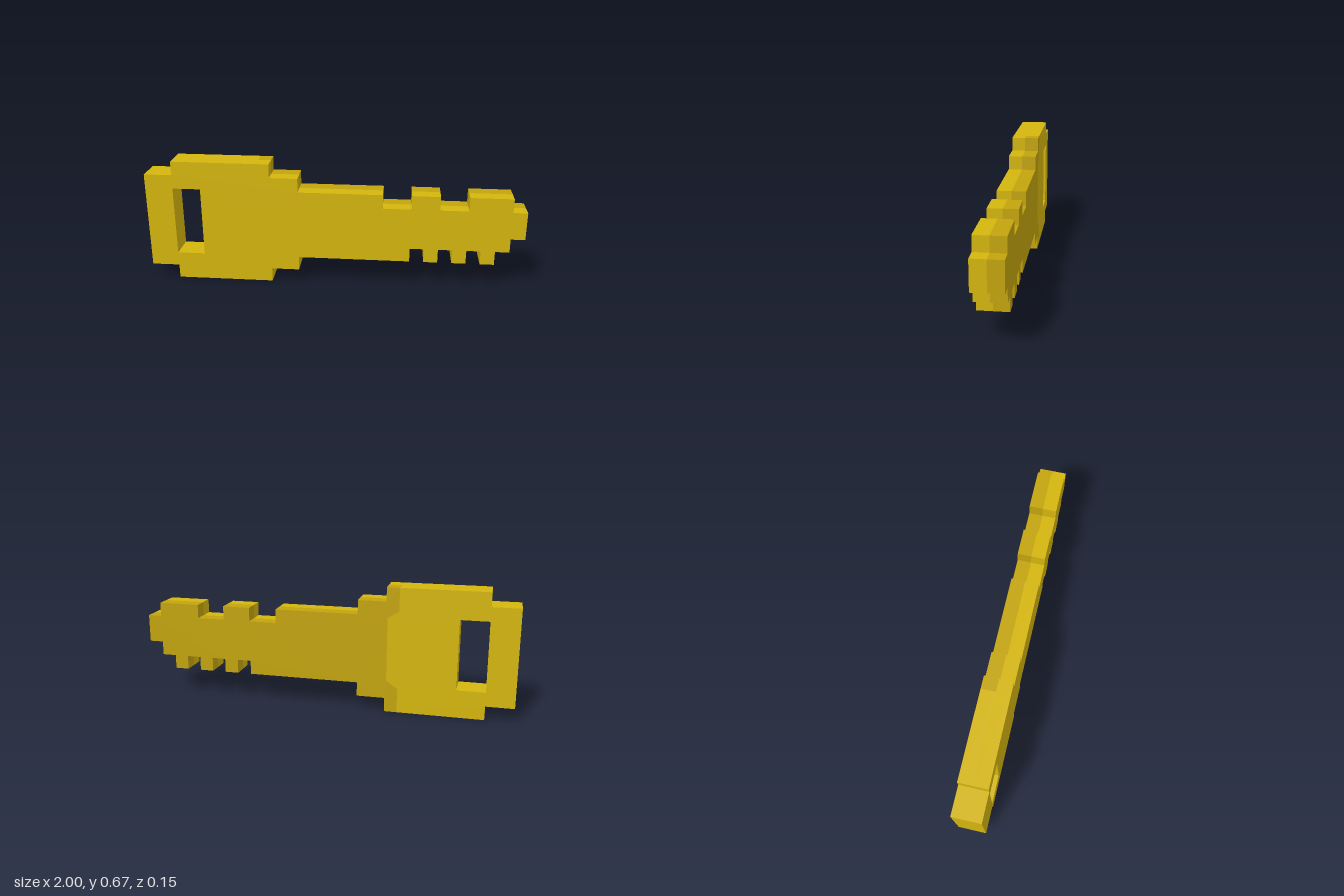
import * as THREE from 'three';

// The key is drawn on a 27 x 9 grid of square cells and is two cells thick.
const U = 2 / 27;

const gold = new THREE.MeshStandardMaterial({ color: 0xd4b50d });
gold.name = 'gold';
const darkGold = new THREE.MeshStandardMaterial({ color: 0xc3a40d });
darkGold.name = 'dark gold';

const toPoints = (cells) => cells.map(([x, y]) => new THREE.Vector2((x - 13.5) * U, y * U));

// Stepped upper edge of the blade, left to right, with the tip
const bladeTop = [
  [9, 9], [9, 8], [11, 8], [11, 7], [17, 7], [17, 6], [19, 6], [19, 7],
  [21, 7], [21, 6], [23, 6], [23, 7], [26, 7], [26, 6], [27, 6], [27, 4], [26, 4], [26, 3],
];
// Three teeth along the lower edge, right to left
const teeth = [24, 22, 20].flatMap((x) => [[x + 1, 3], [x + 1, 2], [x, 2], [x, 3]]);
const bladeBottom = [[19, 3], [19, 2], [11, 2], [11, 1], [9, 1], [9, 0]];
const blade = [...bladeTop, ...teeth, ...bladeBottom];

// Bow end, and the line on the back where the two tones meet
const bow = [[2, 0], [2, 1], [0, 1], [0, 8], [2, 8], [2, 9]];
const seam = [[8.1, 9], [8.1, 7.35], [8.9, 6.85], [8.9, 2.3], [8.1, 1.75], [8.1, 0]];
const slot = [[2, 2], [4, 2], [4, 7], [2, 7]];

// One-cell-thick slab starting at z; the hidden cap at z = 0 is left out
function slab(name, cells, material, z, hole) {
  const shape = new THREE.Shape(toPoints(cells));
  if (hole) shape.holes.push(new THREE.Path(toPoints(hole)));
  const solid = new THREE.ExtrudeGeometry(shape, { depth: U, bevelEnabled: false });
  solid.translate(0, 0, z);
  const p = solid.attributes.position;
  const kept = [];
  for (let i = 0; i < p.count; i += 3) {
    const inner = [0, 1, 2].every((k) => Math.abs(p.getZ(i + k)) < 1e-6);
    if (!inner) kept.push(i, i + 1, i + 2);
  }
  solid.setIndex(kept);
  solid.clearGroups();
  const mesh = new THREE.Mesh(solid, material);
  mesh.name = name;
  return mesh;
}

export function createModel() {
  const key = new THREE.Group();
  key.name = 'key';
  key.add(
    slab('frontHalf', [...bow, ...blade], gold, 0, slot),
    slab('bowBack', [...bow, ...seam], gold, -U, slot),
    slab('bladeBack', [...seam].reverse().concat(blade).reverse(), darkGold, -U),
  );
  return key;
}
